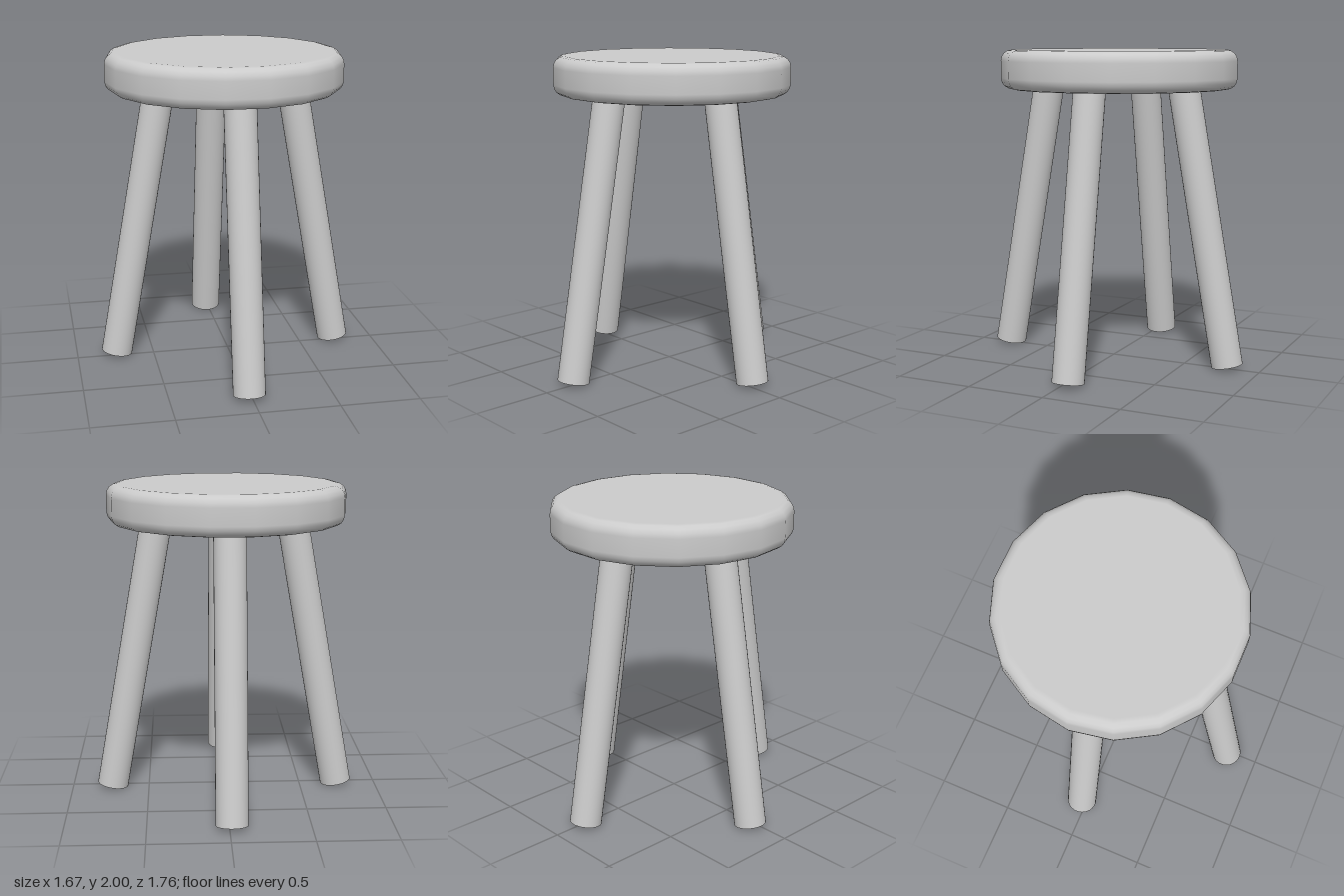
import * as THREE from 'three';

const CENTRE_X = -0.015, CENTRE_Z = -0.035;
const material = new THREE.MeshStandardMaterial({ color: 0xcccccc, side: THREE.DoubleSide });

// Hollow round seat: an 18-sided shell with rounded edges, open underneath
function createSeat() {
  const radius = 0.755, bottom = 1.753, top = 2, fillet = 0.07, steps = 4;
  const profile = [];
  const addFillet = (y, from) => {
    for (let i = 0; i <= steps; i++) {
      const a = from + (i / steps) * Math.PI / 2;
      profile.push(new THREE.Vector2(radius - fillet + fillet * Math.cos(a), y + fillet * Math.sin(a)));
    }
  };
  addFillet(bottom + fillet, -Math.PI / 2);
  addFillet(top - fillet, 0);
  profile.push(new THREE.Vector2(0, top));
  const seat = new THREE.Mesh(new THREE.LatheGeometry(profile, 18, Math.PI / 2), material);
  seat.name = 'seat';
  seat.position.set(CENTRE_X, 0, CENTRE_Z);
  return seat;
}

// Open tube whose foot sits at the origin
const legLength = 1.85;
const legGeometry = new THREE.CylinderGeometry(0.1, 0.1, legLength, 32, 1, true).translate(0, legLength / 2, 0);

// Splayed leg: turned about the vertical, then leaning 10 degrees inwards
function createLeg(name, x, z, turn) {
  const pivot = new THREE.Group();
  pivot.name = name;
  pivot.position.set(x, 0.018, z);
  pivot.rotation.y = turn;
  const tube = new THREE.Mesh(legGeometry, material);
  tube.name = name + 'Tube';
  tube.rotation.z = THREE.MathUtils.degToRad(10);
  pivot.add(tube);
  return pivot;
}

export function createModel() {
  const stool = new THREE.Group();
  stool.name = 'stool';
  stool.add(
    createSeat(),
    createLeg('leftLeg', 0.737, CENTRE_Z, 0),
    createLeg('backLeg', CENTRE_X, -0.783, Math.PI / 2),
    createLeg('rightLeg', -0.74, CENTRE_Z, Math.PI),
    createLeg('frontLeg', CENTRE_X, 0.785, -Math.PI / 2)
  );
  return stool;
}
